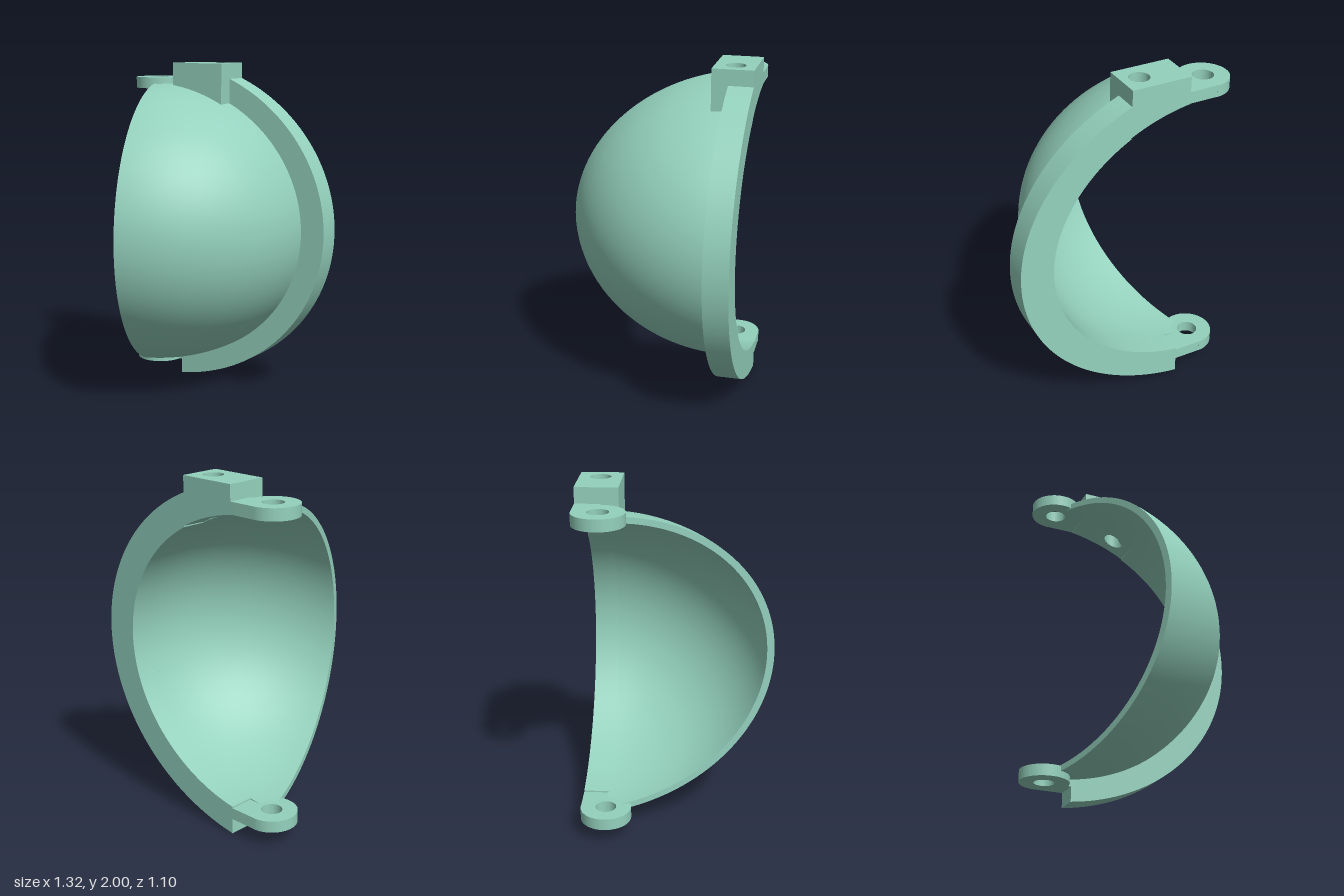
import * as THREE from 'three';
import { mergeGeometries, toCreasedNormals } from 'three/addons/utils/BufferGeometryUtils.js';

// Hinge axis (vertical) and the half-axes of the shell's two surfaces
const CX = -0.515, CZ = -0.41;
const BACK = -0.555, FRONT = -0.315;
const INNER = { a: 0.975, b: 0.845 }, OUTER = { a: 1.02, b: 0.88 }, RIM = { a: 1.17, b: 1.01 };
const SWEEP = THREE.MathUtils.degToRad(70);
const BOLT = { x: -0.105, z: -0.435, r: 0.058 };

// Surface from a function of u, v in 0..1; faces point along du x dv
function grid(fn, nu, nv) {
  const pos = [], index = [];
  for (let i = 0; i <= nu; i++) {
    for (let j = 0; j <= nv; j++) pos.push(...fn(i / nu, j / nv));
  }
  for (let i = 0; i < nu; i++) {
    for (let j = 0; j < nv; j++) {
      const p = i * (nv + 1) + j, q = p + nv + 1;
      index.push(p, q, p + 1, q, q + 1, p + 1);
    }
  }
  const geo = new THREE.BufferGeometry();
  geo.setAttribute('position', new THREE.Float32BufferAttribute(pos, 3));
  geo.setIndex(index);
  geo.computeVertexNormals();
  return geo;
}

// Start angle of the shell: steps back around the bolt hole at the top
function startAngle(theta) {
  const r = OUTER.a * Math.sin(theta), d = r - (BOLT.x - CX);
  if (Math.cos(theta) < 0 || Math.abs(d) >= BOLT.r) return 0;
  const z = BOLT.z - CZ + Math.sqrt(BOLT.r ** 2 - d * d);
  return z > 0 ? Math.asin(z / r) : 0;
}

// Point in the shell wall: p around, q from top to bottom, t from inside to outside
function shellPoint(p, q, t) {
  const theta = THREE.MathUtils.lerp(0.1, Math.PI - 0.1, q);
  const phi = THREE.MathUtils.lerp(startAngle(theta), SWEEP, p);
  const a = THREE.MathUtils.lerp(INNER.a, OUTER.a, t);
  const b = THREE.MathUtils.lerp(INNER.b, OUTER.b, t);
  const r = a * Math.sin(theta);
  return [CX + r * Math.cos(phi), 1 + b * Math.cos(theta), CZ + r * Math.sin(phi)];
}

function shellGeometry() {
  const n = 160, m = 20;
  return mergeGeometries([
    grid((u, v) => shellPoint(u, v, 1), m, n),
    grid((u, v) => shellPoint(v, u, 0), n, m),
    grid((u, v) => shellPoint(1, u, v), n, 1),
    grid((u, v) => shellPoint(0, v, u), 1, n),
  ]);
}

// Plan shape (drawn in x and -z) raised along y
function raise(shape, depth) {
  return new THREE.ExtrudeGeometry(shape, { depth, bevelEnabled: false, curveSegments: 40 })
    .rotateX(-Math.PI / 2);
}

function addHole(shape, x, z, r) {
  shape.holes.push(new THREE.Path().absarc(x, -z, r, 0, Math.PI * 2, true));
}

// Round hinge ear with a square shoulder running into the rim
function earGeometry() {
  const r = 0.146, end = -0.35;
  const shape = new THREE.Shape();
  shape.moveTo(end, -BACK);
  shape.lineTo(CX, -BACK);
  shape.absarc(CX, -CZ, r, Math.PI / 2, Math.PI * 2, false);
  shape.lineTo(end, -CZ);
  addHole(shape, CX, CZ, 0.06);
  return raise(shape, 0.068);
}

// Flat rim following the shell from the block to the lower ear
function rimGeometry() {
  const at = (x, a) => Math.acos((x - CX) / a);
  const shape = new THREE.Shape();
  shape.absellipse(CX, 1, RIM.a, RIM.b, at(0, RIM.a), -at(-0.35, RIM.a), true);
  shape.absellipse(CX, 1, INNER.a, INNER.b, -at(-0.35, INNER.a), at(0, INNER.a), false);
  shape.closePath();
  return new THREE.ExtrudeGeometry(shape, { depth: CZ - BACK, bevelEnabled: false, curveSegments: 80 })
    .translate(0, 0, BACK);
}

// Block with a bolt hole, its underside shaped to the curve of the shell
function blockGeometry() {
  const x0 = -0.35, x1 = 0, n = 10, pts = [];
  for (let i = 0; i <= n; i++) pts.push(new THREE.Vector2(x0 + (x1 - x0) * i / n, -FRONT));
  for (let i = 0; i <= n; i++) pts.push(new THREE.Vector2(x1 + (x0 - x1) * i / n, -BACK));
  const shape = new THREE.Shape(pts);
  addHole(shape, BOLT.x, BOLT.z, BOLT.r);
  const geo = raise(shape, 1), pos = geo.attributes.position;
  for (let i = 0; i < pos.count; i++) {
    const r = Math.hypot(pos.getX(i) - CX, Math.max(0, pos.getZ(i) - CZ)) / 0.98;
    pos.setY(i, pos.getY(i) > 0.5 ? 2 : 1 + 0.852 * Math.sqrt(1 - r * r));
  }
  return geo;
}

export function createModel() {
  const model = new THREE.Group();
  model.name = 'hingedShellHalf';
  const green = new THREE.MeshStandardMaterial({ color: 0x94d1bd });
  green.name = 'mint green';

  function add(name, geo, y = 0) {
    const mesh = new THREE.Mesh(toCreasedNormals(geo, 0.5), green);
    mesh.name = name;
    mesh.position.y = y;
    model.add(mesh);
  }

  add('shell', shellGeometry());
  add('rim', rimGeometry());
  add('boltBlock', blockGeometry());
  add('upperHingeEar', earGeometry(), 1.842);
  add('lowerHingeEar', earGeometry(), 0.09);
  return model;
}
